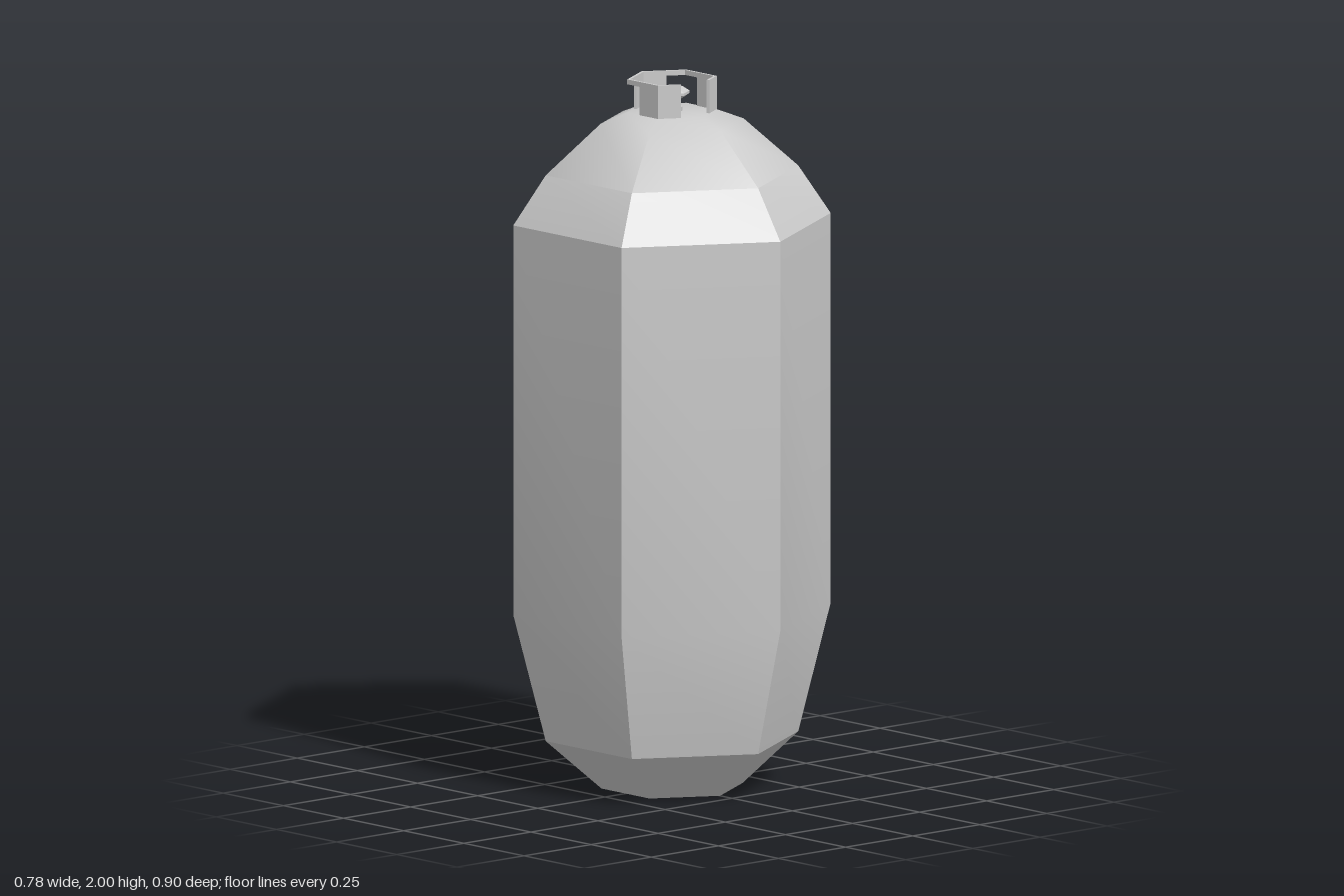
import * as THREE from 'three';
import { toCreasedNormals } from 'three/addons/utils/BufferGeometryUtils.js';

const material = new THREE.MeshStandardMaterial({ color: 0xcccccc });

function addMesh(group, name, geometry, crease) {
  const mesh = new THREE.Mesh(toCreasedNormals(geometry, crease), material);
  mesh.name = name;
  group.add(mesh);
}

// Six-sided turned solid from [radius, y] pairs, corners on the z axis
function hexLathe(profile) {
  return new THREE.LatheGeometry(profile.map(([r, y]) => new THREE.Vector2(r, y)), 6);
}

// Thin upright wall following an [x, z] outline, thickened towards the axis
function wall(outline, y0, y1) {
  const inner = outline.map(([x, z]) => [x * 0.93, z * 0.93]).reverse();
  const shape = new THREE.Shape([...outline, ...inner].map(([x, z]) => new THREE.Vector2(x, -z)));
  return new THREE.ExtrudeGeometry(shape, { depth: y1 - y0, bevelEnabled: false })
    .rotateX(-Math.PI / 2)
    .translate(0, y0, 0);
}

export function createModel() {
  const model = new THREE.Group();
  model.name = 'gasCylinder';

  // Tank: tapered foot and straight sides, then the rounded shoulder
  addMesh(model, 'tankBody', hexLathe([[0, 0], [0.2, 0], [0.358, 0.14], [0.45, 0.5], [0.45, 1.6]]), 0.5);
  addMesh(model, 'tankShoulder', hexLathe([
    [0.45, 1.6], [0.358, 1.738], [0.203, 1.877], [0.127, 1.906], [0, 1.906],
  ]), 0.78);

  // Valve: stem with a small crowned hand wheel
  addMesh(model, 'valveStem', hexLathe([[0.03, 1.9], [0.03, 1.918], [0.018, 1.925], [0.018, 1.955]]), 0.5);
  addMesh(model, 'valveWheel', hexLathe([[0, 1.945], [0.035, 1.945], [0.05, 1.955], [0.05, 1.962], [0.03, 1.975], [0, 1.977]]), 0.6);

  // Protective collar: open at the front, with a hand hole on each side under a thin rail
  const collar = new THREE.Group();
  collar.name = 'collar';
  const bottom = 1.9, rail = 1.986, top = 2;
  for (const s of [1, -1]) {
    const side = s > 0 ? 'left' : 'right';
    addMesh(collar, side + 'CollarWall', wall([[s * 0.053, 0.096], [s * 0.11, 0.0635], [s * 0.11, -0.012]], bottom, top), 0.5);
    addMesh(collar, side + 'CollarRail', wall([[s * 0.11, -0.012], [s * 0.11, -0.0635], [s * 0.06, -0.092]], rail, top), 0.5);
  }
  addMesh(collar, 'backCollarWall', wall([[0.06, -0.092], [0, -0.127], [-0.06, -0.092]], bottom, top), 0.5);
  model.add(collar);

  return model;
}
